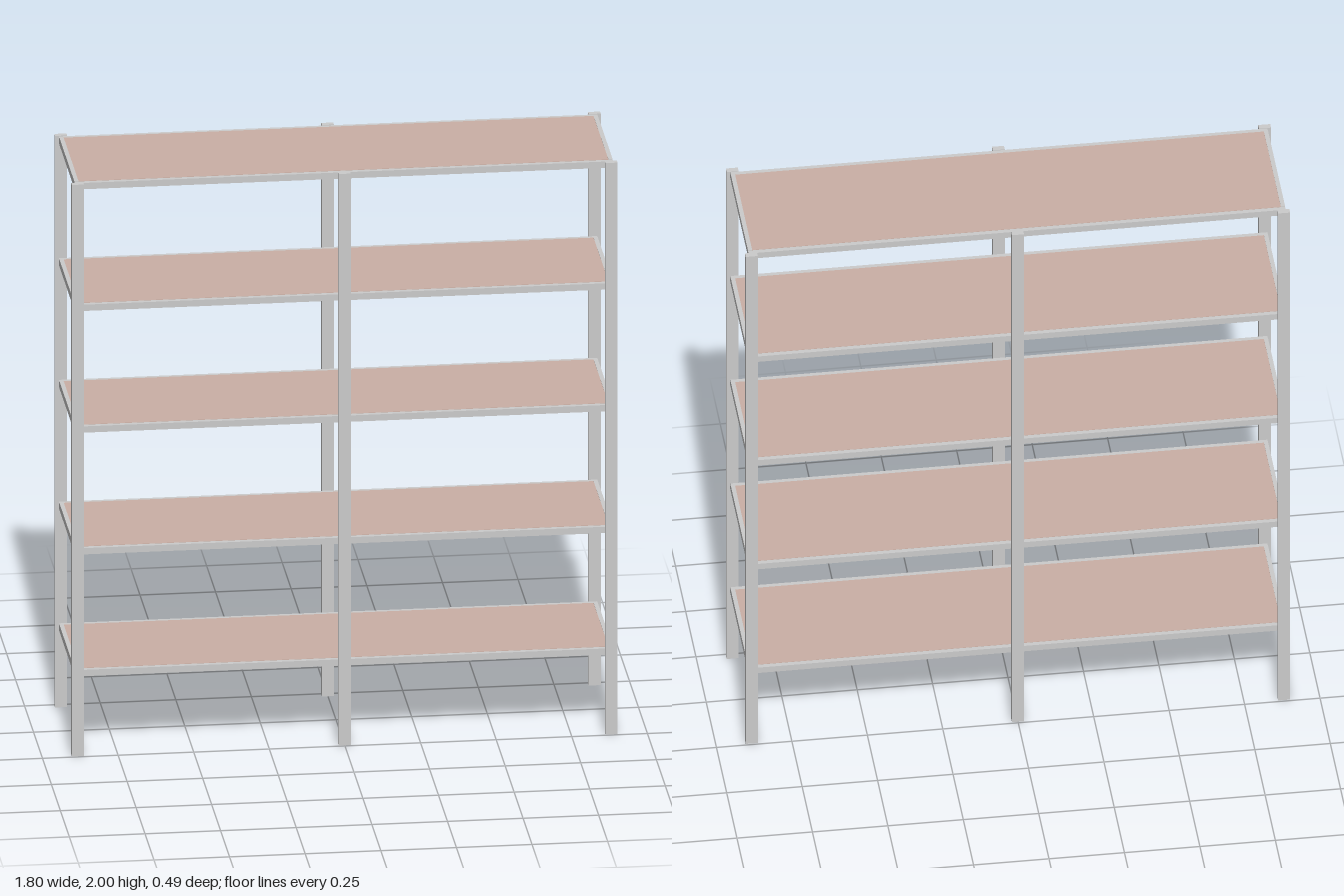
import * as THREE from 'three';

export function createModel() {
  const shelfUnit = new THREE.Group();
  shelfUnit.name = 'shelfUnit';
  const metal = new THREE.MeshStandardMaterial({ color: 0xcccccc });
  const wood = new THREE.MeshStandardMaterial({ color: 0xcbb0a6 });

  function box(name, size, position, material, parent) {
    const mesh = new THREE.Mesh(new THREE.BoxGeometry(...size), material);
    mesh.name = name;
    mesh.position.set(...position);
    parent.add(mesh);
  }

  // Six flat uprights, three along each long side
  for (const x of [-0.882, 0, 0.882])
    for (const side of [-1, 1])
      box('post', [0.04, 2, 0.02], [x, 1, side * 0.234], metal, shelfUnit);

  // Five shelves: a rail frame with a thin board set into it
  for (let i = 0; i < 5; i++) {
    const shelf = new THREE.Group();
    shelf.name = 'shelf';
    shelf.position.y = 2 - i * 0.426;
    for (const side of [-1, 1]) {
      box('longRail', [1.78, 0.022, 0.016], [0, -0.013, side * 0.216], metal, shelf);
      box('endRail', [0.014, 0.025, 0.416], [side * 0.883, -0.0125, 0], metal, shelf);
    }
    box('board', [1.752, 0.012, 0.416], [0, -0.007, 0], wood, shelf);
    shelfUnit.add(shelf);
  }
  return shelfUnit;
}
